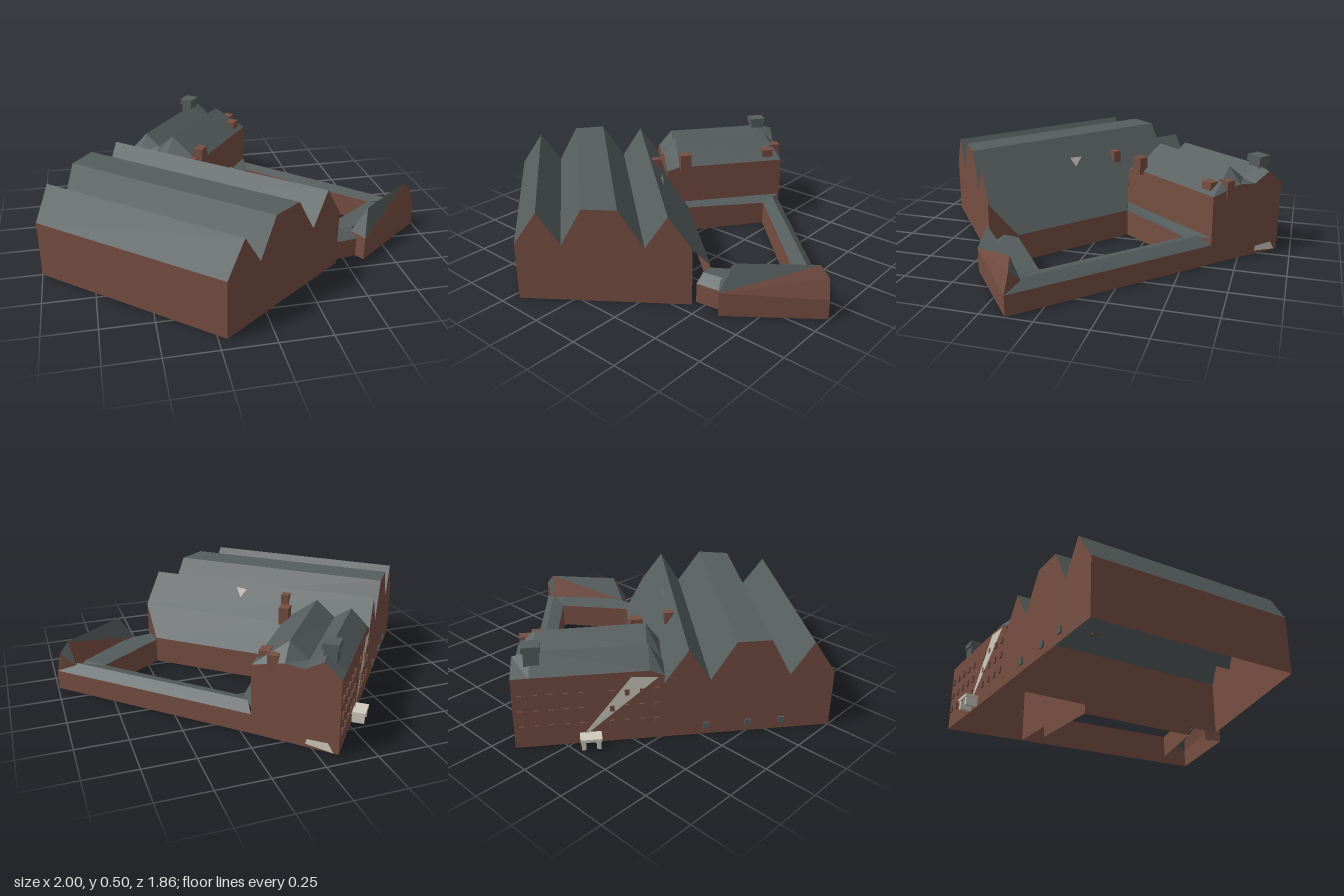
import * as THREE from 'three';

const mat = (name, color) => {
  const m = new THREE.MeshStandardMaterial({ color, side: THREE.DoubleSide, flatShading: true });
  m.name = name;
  return m;
};

export function createModel() {
  const model = new THREE.Group();
  const brick = mat('brick', 0x764e42);
  const slate = mat('slate', 0x565d5d);
  const stone = mat('paleStone', 0xcfcabd);

  const mix = (a, b, t) => a.map((v, i) => v + (b[i] - v) * t);
  const at = ([x, z], y) => [x, y, z];

  // One mesh from a list of flat polygons, each fanned from its first corner
  function faces(name, material, polygons) {
    const pos = [];
    for (const p of polygons)
      for (let i = 1; i < p.length - 1; i++) pos.push(...p[0], ...p[i], ...p[i + 1]);
    const geo = new THREE.BufferGeometry();
    geo.setAttribute('position', new THREE.Float32BufferAttribute(pos, 3));
    geo.computeVertexNormals();
    const mesh = new THREE.Mesh(geo, material);
    mesh.name = name;
    model.add(mesh);
  }
  // Quads joining two point rows
  const strip = (a, b) => a.slice(1).map((p, i) => [a[i], p, b[i + 1], b[i]]);
  // Quads dropping a point row to a lower level
  const drop = (row, y = 0) => strip(row, row.map((p) => [p[0], y, p[2]]));

  // Box turned to follow the long north-west wall
  const wallAngle = 0.913;
  function block(name, material, size, place) {
    const mesh = new THREE.Mesh(new THREE.BoxGeometry(...size), material);
    mesh.name = name;
    mesh.position.set(...place);
    mesh.rotation.y = wallAngle;
    model.add(mesh);
  }

  // Plan corners as [x, z]
  const west = [-1, 0.25], south = [-0.21, 0.93], east = [0.45, 0.44];
  const joint = [-0.51, -0.385], north = [-0.09, -0.93];
  const innerJoint = [-0.19, -0.11], innerNorth = [0.21, -0.63];
  const farEast = [0.995, 0.13];
  const court = [[-0.06, -0.14], [0.44, 0.29], [0.76, 0.06], [0.2, -0.49]];

  // Hall with three parallel roofs
  const profile = [[0, 0.29], [0.136, 0.45], [0.265, 0.29], [0.39, 0.475],
    [0.59, 0.475], [0.735, 0.29], [0.865, 0.45], [1, 0.29]];
  const gableA = profile.map(([t, y]) => at(mix(west, joint, t), y));
  const gableB = profile.map(([t, y]) => at(mix(south, east, t), y));
  faces('hallRoof', slate, strip(gableA, gableB));
  faces('hallWalls', brick, [
    ...drop(gableA), ...drop(gableB),
    ...drop([gableA[0], gableB[0]]), ...drop([gableA[7], gableB[7]]),
  ]);
  faces('leanToRoof', slate, [[at(innerJoint, 0.29), at(east, 0.29), at(court[1], 0.14), at(court[0], 0.14)]]);

  // Tall wing with a double ridged roof, hipped at both ends
  const across = [0, 0.2, 0.4, 0.62, 1];
  const rows = [
    [0, [0.33, 0.36, 0.34, 0.38, 0.33]],
    [0.1, [0.36, 0.45, 0.39, 0.47, 0.35]],
    [0.88, [0.36, 0.45, 0.39, 0.465, 0.35]],
    [1, [0.36, 0.43, 0.38, 0.39, 0.35]],
  ].map(([u, ys]) => ys.map((y, i) =>
    at(mix(mix(joint, north, u), mix(innerJoint, innerNorth, u), across[i]), y)));
  faces('wingRoof', slate, rows.slice(1).flatMap((r, i) => strip(rows[i], r)));
  faces('wingWalls', brick, [
    ...drop(rows.map((r) => r[0])), ...drop(rows.map((r) => r[4])),
    ...drop(rows[3]), ...drop(rows[0], 0.25),
  ]);

  // Low ranges around the courtyard
  const ridgeA = mix(innerNorth, court[3], 0.45), ridgeB = mix(farEast, court[2], 0.4);
  faces('courtRoofs', slate, [
    [at(innerNorth, 0.1), at(farEast, 0.1), at(ridgeB, 0.142), at(ridgeA, 0.142)],
    [at(ridgeA, 0.142), at(ridgeB, 0.142), at(court[2], 0.125), at(court[3], 0.125)],
    [at(innerJoint, 0.14), at(innerNorth, 0.14), at(court[3], 0.125), at(court[0], 0.14)],
    [at(court[1], 0.13), at(court[2], 0.125), at([0.9, 0.16], 0.14), at([0.56, 0.34], 0.14), at([0.45, 0.36], 0.14)],
    [at([0.45, 0.36], 0.14), at([0.56, 0.34], 0.14), at([0.58, 0.39], 0.1), at([0.45, 0.41], 0.1)],
    [at(court[2], 0.125), at(ridgeB, 0.142), at(farEast, 0.1), at([0.88, 0.16], 0.14)],
  ]);
  faces('courtWalls', brick, [
    ...drop([0, 1, 2, 3, 0].map((i) => at(court[i], i === 0 ? 0.14 : 0.125))),
    ...drop([at(innerNorth, 0.1), at(farEast, 0.1)]),
    ...drop([at([0.45, 0.41], 0.1), at([0.58, 0.39], 0.1)]),
  ]);

  // Corner house: each long side is split between brick and slate
  const out0 = [0.6, 0.435], out1 = farEast, in0 = [0.55, 0.36], in1 = [0.9, 0.09];
  const top0 = [0.63, 0.255, 0.365], top1 = [0.93, 0.255, 0.125];
  const shoulder = [0.975, 0.2, 0.115];
  faces('cornerHouseRoof', slate, [
    [at(out0, 0.12), top0, top1],
    [at(in0, 0.13), top0, top1],
    [at(out0, 0.12), at(in0, 0.13), top0],
    [top1, shoulder, at(in1, 0.13)],
  ]);
  faces('cornerHouseWalls', brick, [
    [at(out0, 0.12), top1, shoulder, at(out1, 0.1)],
    [at(in0, 0.13), top1, at(in1, 0.13)],
    [shoulder, at(out1, 0.1), at(in1, 0.13)],
    ...drop([at(in0, 0.13), at(out0, 0.12), at(out1, 0.1), at(in1, 0.13)]),
  ]);

  // Chimney and dormers
  block('chimney', slate, [0.07, 0.13, 0.06], [-0.095, 0.43, -0.81]);
  block('chimneyCap', slate, [0.085, 0.03, 0.075], [-0.095, 0.48, -0.81]);
  for (const p of [[-0.13, 0.38, -0.19], [0.12, 0.37, -0.68], [0.13, 0.36, -0.6]])
    block('dormer', brick, [0.06, 0.09, 0.05], p);
  block('hallRoofVent', brick, [0.045, 0.06, 0.04], [-0.2, 0.4, -0.03]);
  faces('hallRoofLight', stone, [[[-0.03, 0.43, 0.11], [0.01, 0.43, 0.16], [0.0, 0.38, 0.13]]]);

  // Small windows along the north-west wall
  for (let i = 0; i < 10; i++) {
    if (i === 4) continue;
    for (const y of [0.1, 0.18, 0.26]) {
      const [x, z] = mix(joint, north, 0.05 + i * 0.1);
      block('window', brick, [0.022, 0.03, 0.008], [x - 0.004, y, z - 0.003]);
    }
  }
  for (const t of [0.3, 0.5, 0.75]) {
    const [x, z] = mix(west, joint, t);
    block('cellarWindow', slate, [0.03, 0.03, 0.008], [x - 0.004, 0.05, z - 0.003]);
  }

  // Pale entrance panel, porch and side step
  const onWall = (u, y) => {
    const [x, z] = mix(joint, north, u);
    return [x - 0.007, y, z - 0.0055];
  };
  faces('entrancePanel', stone, [[onWall(0.58, 0.02), onWall(0.04, 0.33), onWall(0.22, 0.34)]]);
  block('porchRoof', stone, [0.1, 0.015, 0.07], [-0.325, 0.05, -0.675]);
  for (const k of [-0.035, 0.035])
    block('porchPier', stone, [0.02, 0.045, 0.06], [-0.325 + 0.61 * k, 0.0225, -0.675 - 0.79 * k]);
  faces('sideStep', stone, [[[-0.07, 0.005, -0.92], [0.025, 0.02, -0.825], [0.02, 0.045, -0.83], [-0.05, 0.05, -0.9]]]);

  return model;
}
